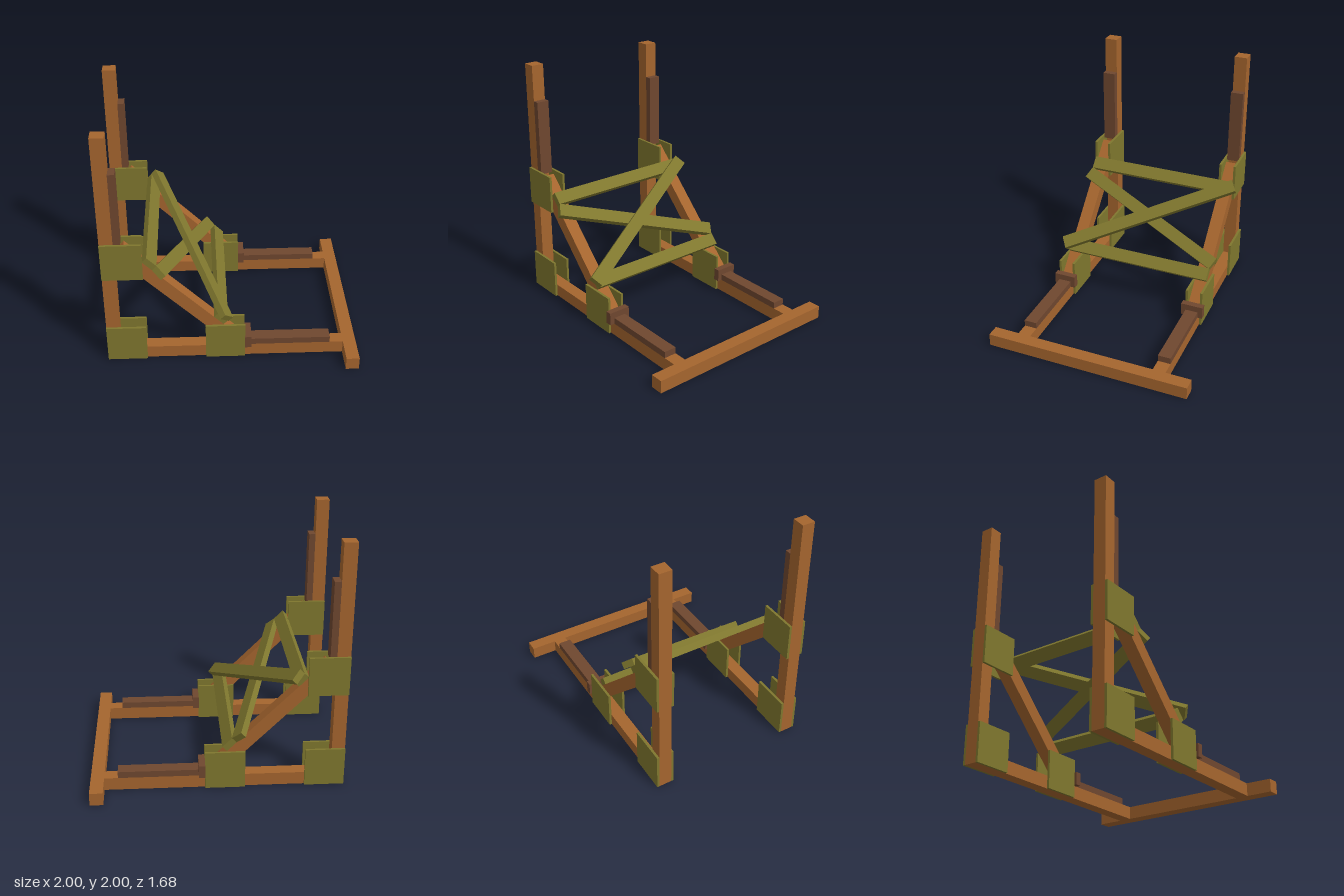
import * as THREE from 'three';

export function createModel() {
  const model = new THREE.Group();
  model.name = 'timberFrame';

  const mat = (name, color) => {
    const m = new THREE.MeshStandardMaterial({ color });
    m.name = name;
    return m;
  };
  const timber = mat('orangeTimber', 0xa5652e);
  const darkWood = mat('darkWood', 0x6f472f);
  const olive = mat('olivePanel', 0x7f772e);

  const T = 0.105; // timber thickness
  const Z = 0.58;  // side frame offset

  // Box given by its size and centre
  const box = (parent, name, material, size, pos) => {
    const mesh = new THREE.Mesh(new THREE.BoxGeometry(...size), material);
    mesh.name = name;
    mesh.position.set(...pos);
    parent.add(mesh);
    return mesh;
  };
  // Box given by its x and y ranges, centre z and depth
  const slab = (parent, name, material, x0, x1, y0, y1, z, depth) =>
    box(parent, name, material, [x1 - x0, y1 - y0, depth], [(x0 + x1) / 2, (y0 + y1) / 2, z]);

  // Sloping plane that carries the braces and slats: local x runs downhill, local y points out
  const slope = new THREE.Group();
  slope.name = 'slopingBracing';
  slope.position.set(-0.38, 0.63, 0);
  slope.rotation.z = -Math.PI / 4;
  model.add(slope);

  for (const side of [1, -1]) {
    const z = side * Z;
    const frame = new THREE.Group();
    frame.name = side > 0 ? 'frontSideFrame' : 'backSideFrame';
    model.add(frame);

    // Main timbers
    slab(frame, 'post', timber, -1, -0.895, 0, 2, z, T);
    slab(frame, 'baseRail', timber, -0.895, 0.895, 0, T, z, T);
    box(slope, 'diagonalBrace', timber, [1.259, T, T], [0.007, -T / 2, z]);

    // Dark cleats and stop block
    slab(frame, 'postCleat', darkWood, -0.895, -0.843, 1.08, 1.705, z, T);
    slab(frame, 'railStop', darkWood, 0.1, 0.152, T, 0.21, z, 0.184);
    slab(frame, 'railCleat', darkWood, 0.152, 0.787, T, 0.158, z, T);

    // Gusset plates on both faces of each joint
    for (const face of [1, -1]) {
      const pz = z + face * (T / 2 + 0.01);
      for (const [x, y] of [[-1, 0], [-1, 0.79], [-0.213, 0]]) {
        slab(frame, 'gussetPlate', olive, x, x + 0.315, y, y + 0.315, pz, 0.02);
      }
    }
  }

  // End beam across the base
  slab(model, 'endBeam', timber, 0.895, 1, 0, T, 0, 1.684);

  // Horizontal slats and crossed slats, the second one lying on top
  const t = 0.053;
  for (const s of [-0.385, 0.385]) {
    box(slope, 'horizontalSlat', olive, [0.106, t, 1.265], [s, t / 2, 0]);
  }
  box(slope, 'lowerCrossSlat', olive, [0.106, t, 1.424], [0, t / 2, 0]).rotation.y = -0.414;
  box(slope, 'upperCrossSlat', olive, [0.106, t, 1.55], [0, t * 1.5, 0]).rotation.y = 0.534;

  return model;
}
